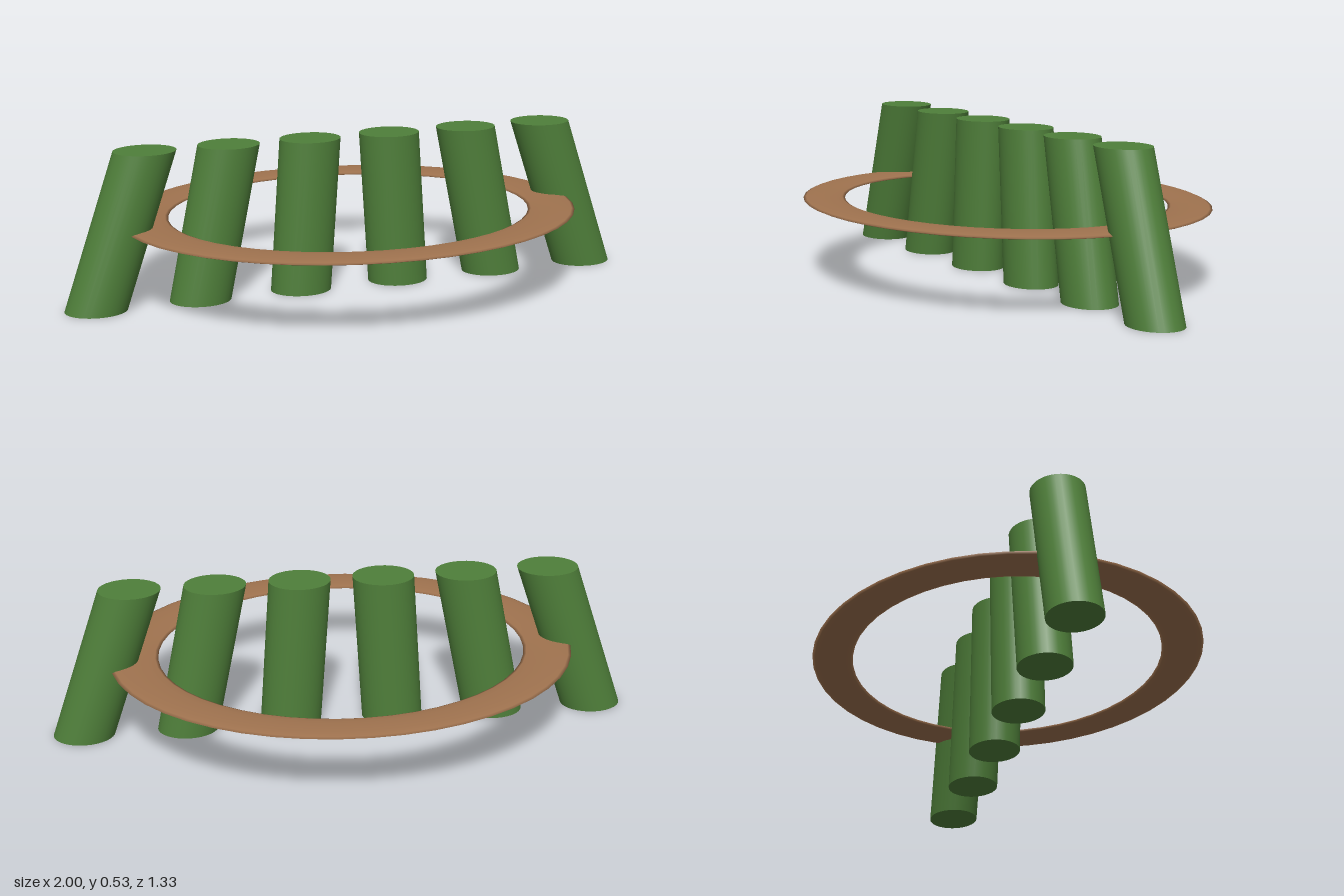
import * as THREE from 'three';

const HEIGHT = 0.53;
const STRETCH = 1.2; // everything is 1.2 times wider in x than in z

export function createModel() {
  const model = new THREE.Group();
  model.name = 'ringWithPosts';

  const green = new THREE.MeshStandardMaterial({ color: 0x4f7f3a });
  green.name = 'leafGreen';
  const brown = new THREE.MeshStandardMaterial({ color: 0xa0734f });
  brown.name = 'woodBrown';

  // Six oval posts, sheared so they lean inward with level ends
  for (let i = 0; i < 6; i++) {
    const bottomX = (i - 2.5) * 0.358;
    const topX = bottomX * 0.8;
    const lean = (topX - bottomX) / HEIGHT;
    const geometry = new THREE.CylinderGeometry(0.088, 0.088, HEIGHT, 32);
    geometry.scale(STRETCH, 1, 1);
    geometry.applyMatrix4(new THREE.Matrix4().set(
      1, lean, 0, (topX + bottomX) / 2,
      0, 1, 0, HEIGHT / 2,
      0, 0, 1, 0,
      0, 0, 0, 1
    ));
    const post = new THREE.Mesh(geometry, green);
    post.name = `post${i + 1}`;
    model.add(post);
  }

  // Flat oval ring around the posts at half height
  const ringGeometry = new THREE.TorusGeometry(0.594, 0.069, 12, 48);
  ringGeometry.rotateX(Math.PI / 2);
  ringGeometry.scale(STRETCH, 0.12, 1);
  const ring = new THREE.Mesh(ringGeometry, brown);
  ring.name = 'ring';
  ring.position.y = HEIGHT / 2;
  model.add(ring);

  return model;
}
